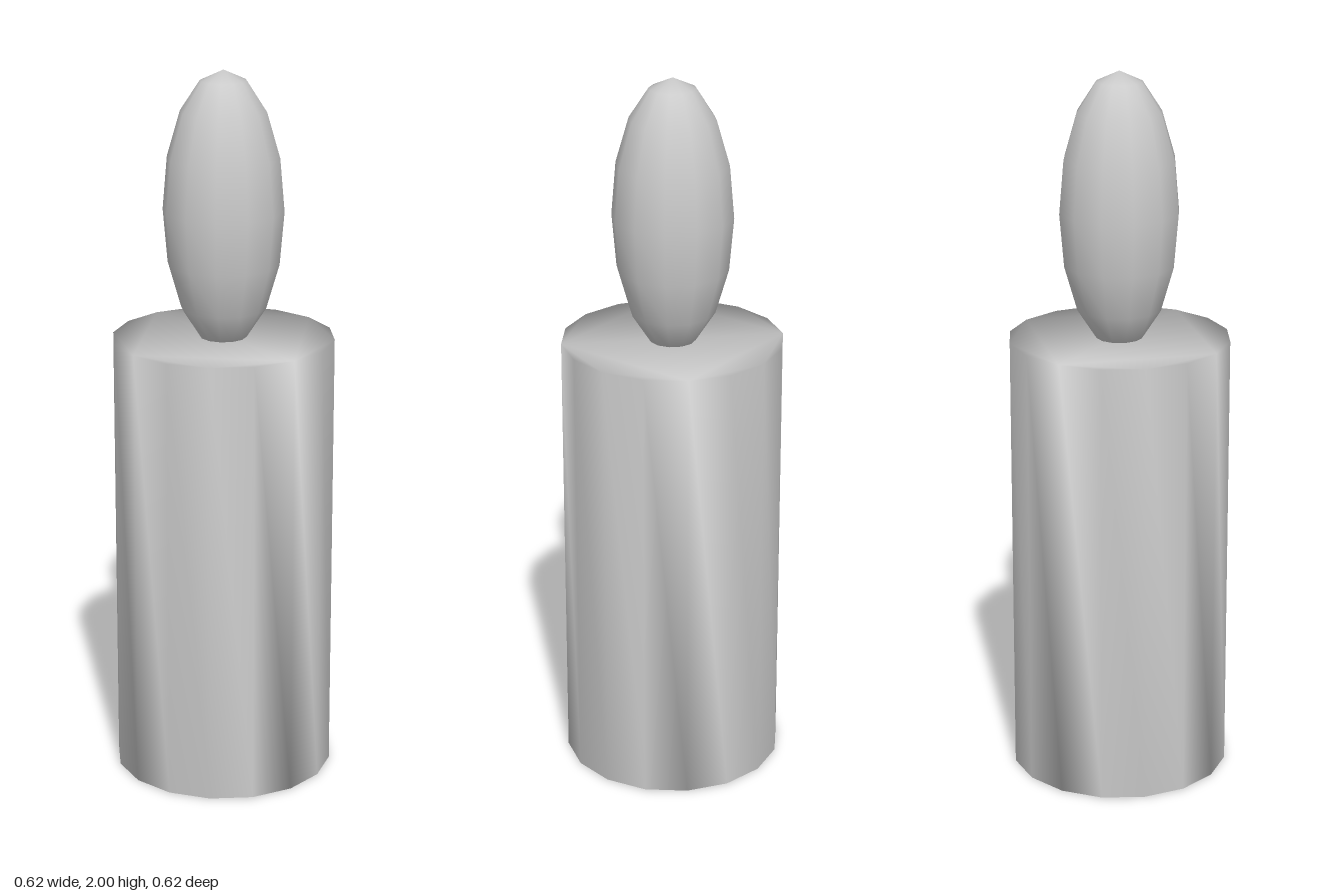
import * as THREE from 'three';
import { mergeVertices } from 'three/addons/utils/BufferGeometryUtils.js';

const SIDES = 16, RADIUS = 0.308, HEIGHT = 1.26;

// Share vertices across the rim so the shading runs smoothly over every edge
function weld(geometry) {
  geometry.deleteAttribute('uv');
  geometry.deleteAttribute('normal');
  const welded = mergeVertices(geometry, 1e-4);
  welded.computeVertexNormals();
  return welded;
}

export function createModel() {
  const model = new THREE.Group();
  model.name = 'candle';
  const grey = new THREE.MeshStandardMaterial({ color: 0xcccccc });
  grey.name = 'light grey';

  // Wax body: sixteen-sided prism
  const outline = [];
  for (let i = 0; i < SIDES; i++) {
    const a = (i / SIDES) * Math.PI * 2;
    outline.push(new THREE.Vector2(Math.cos(a) * RADIUS, Math.sin(a) * RADIUS));
  }
  const bodyGeometry = new THREE.ExtrudeGeometry(new THREE.Shape(outline), {
    depth: HEIGHT, bevelEnabled: false,
  });
  bodyGeometry.rotateX(-Math.PI / 2);
  const body = new THREE.Mesh(weld(bodyGeometry), grey);
  body.name = 'waxBody';
  model.add(body);

  // Flame: stretched low-poly sphere, its tip sunk into the wax
  const flameGeometry = new THREE.SphereGeometry(1, 12, 8);
  flameGeometry.scale(0.167, 0.385, 0.167);
  flameGeometry.translate(0, 1.615, 0);
  const flame = new THREE.Mesh(weld(flameGeometry), grey);
  flame.name = 'flame';
  model.add(flame);

  return model;
}
